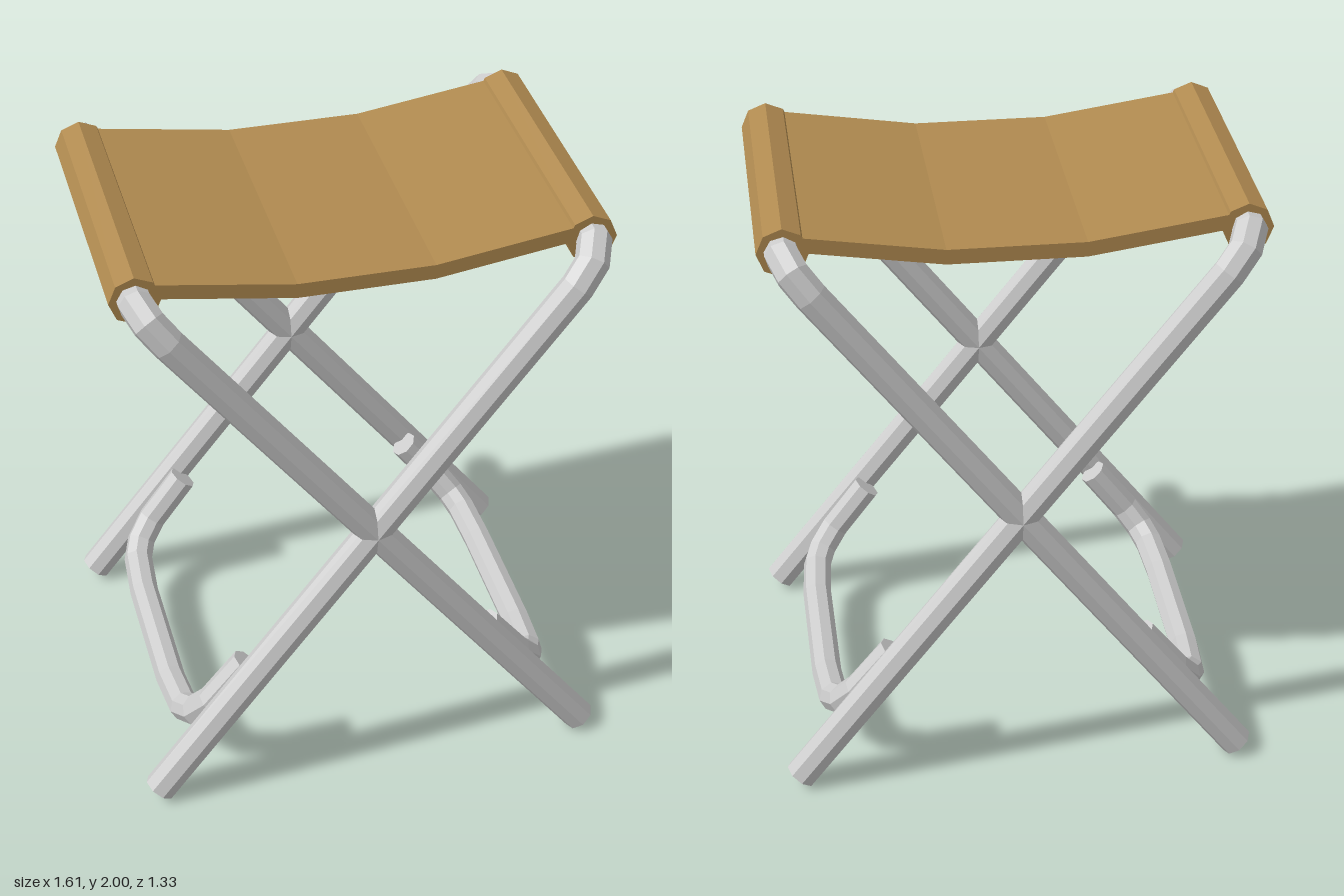
import * as THREE from 'three';

const CROSS_Y = 0.99, SLOPE = 0.779; // height where the legs cross, x per unit of height
const SIDES = 8;
const metal = new THREE.MeshStandardMaterial({ color: 0xcccccc, flatShading: true });
const canvas = new THREE.MeshStandardMaterial({ color: 0xb08a50, flatShading: true });

// Place a (z, y) point on the tilted plane of one frame
const onPlane = ([z, y]) => new THREE.Vector3((y - CROSS_Y) * SLOPE, y, z);

// Extend half a path (free end to centre) with its mirror image in z
const mirrorPath = (half) => [...half, ...half.map(([z, y]) => [-z, y]).reverse()];

// Octagonal tube with mitred bends along a path in the frame plane, capped at both ends
function bentTube(path, radius) {
  const pts = path.map(onPlane);
  const normal = new THREE.Vector3(1, -SLOPE, 0).normalize();
  const pos = [], index = [];
  pts.forEach((p, i) => {
    const into = p.clone().sub(pts[Math.max(i - 1, 0)]).normalize();
    const out = pts[Math.min(i + 1, pts.length - 1)].clone().sub(p).normalize();
    const t = into.clone().add(out).normalize();
    const stretch = 1 / t.dot(i > 0 ? into : out);
    const u = normal.clone().cross(t).multiplyScalar(stretch);
    for (let k = 0; k < SIDES; k++) {
      const a = (k / SIDES) * Math.PI * 2;
      const v = p.clone().addScaledVector(u, radius * Math.cos(a))
        .addScaledVector(normal, radius * Math.sin(a));
      pos.push(v.x, v.y, v.z);
    }
  });
  for (let i = 0; i < pts.length - 1; i++) {
    for (let k = 0; k < SIDES; k++) {
      const a = i * SIDES + k, b = i * SIDES + (k + 1) % SIDES;
      index.push(a, b, b + SIDES, a, b + SIDES, a + SIDES);
    }
  }
  const last = (pts.length - 1) * SIDES;
  for (let k = 1; k < SIDES - 1; k++) {
    index.push(0, k + 1, k, last, last + k, last + k + 1);
  }
  const geo = new THREE.BufferGeometry();
  geo.setAttribute('position', new THREE.Float32BufferAttribute(pos, 3));
  geo.setIndex(index);
  const flat = geo.toNonIndexed();
  flat.computeVertexNormals();
  return flat;
}

function addMesh(parent, name, geometry, material) {
  const mesh = new THREE.Mesh(geometry, material);
  mesh.name = name;
  parent.add(mesh);
  return mesh;
}

export function createModel() {
  const stool = new THREE.Group();
  stool.name = 'foldingStool';

  // Two crossing frames, each an inverted U with a lower U-shaped brace
  const legs = bentTube(mirrorPath([[0.61, 0.037], [0.587, 1.82], [0.565, 1.885], [0.50, 1.92]]), 0.055);
  const brace = bentTube(mirrorPath(
    [[0.523, 0.455], [0.513, 0.3], [0.475, 0.235], [0.41, 0.203], [0.24, 0.188]]), 0.05);
  for (const [name, turn] of [['frameA', 0], ['frameB', Math.PI]]) {
    const frame = new THREE.Group();
    frame.name = name;
    addMesh(frame, 'legs', legs, metal);
    addMesh(frame, 'brace', brace, metal);
    frame.rotation.y = turn;
    stool.add(frame);
  }

  // Sagging canvas seat
  const seat = new THREE.Shape([
    [-0.70, 1.972], [-0.22, 1.90], [0.22, 1.90], [0.70, 1.972],
    [0.70, 1.922], [0.22, 1.85], [-0.22, 1.85], [-0.70, 1.922],
  ].map(([x, y]) => new THREE.Vector2(x, y)));
  const seatGeo = new THREE.ExtrudeGeometry(seat, { depth: 0.966, bevelEnabled: false });
  seatGeo.translate(0, 0, -0.483);
  addMesh(stool, 'seat', seatGeo, canvas);

  // Canvas sleeves wrapped round the top bars
  const sleeveGeo = new THREE.CylinderGeometry(0.082, 0.082, 0.966, SIDES);
  sleeveGeo.rotateX(Math.PI / 2);
  for (const [name, side] of [['leftSleeve', 1], ['rightSleeve', -1]]) {
    addMesh(stool, name, sleeveGeo, canvas).position.set(side * 0.722, 1.919, 0);
  }
  return stool;
}
